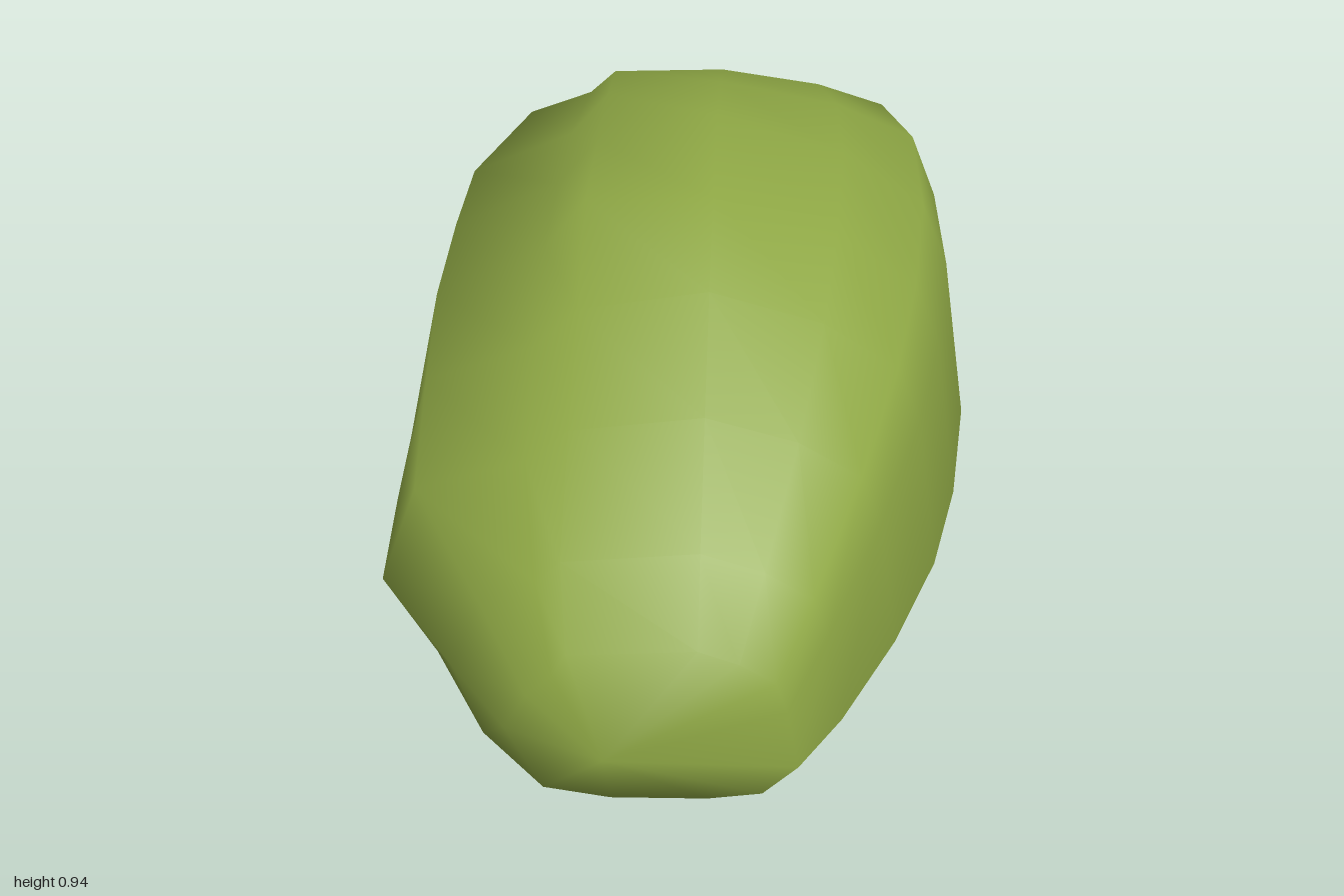
import * as THREE from 'three';

const moss = new THREE.MeshStandardMaterial({ color: 0x8fa845 });
moss.name = 'mossGreen';

// Cross-sections from front to back: z, then x of the low (-x) and high (+x) sides, x of the
// base on both sides, y of the widest point on both sides, then the heights of the
// low shoulder, the step, the peak and the high shoulder
const stations = [
  [0.92, -0.34, 0.24, -0.27, 0.17, 0.20, 0.11, 0.29, 0.40, 0.42, 0.34],
  [0.78, -0.46, 0.33, -0.41, 0.26, 0.22, 0.10, 0.40, 0.51, 0.54, 0.43],
  [0.55, -0.64, 0.45, -0.54, 0.38, 0.24, 0.10, 0.49, 0.65, 0.69, 0.55],
  [0.30, -0.65, 0.55, -0.58, 0.47, 0.25, 0.10, 0.58, 0.77, 0.82, 0.64],
  [0.06, -0.66, 0.61, -0.60, 0.53, 0.24, 0.11, 0.64, 0.89, 0.90, 0.69],
  [-0.23, -0.66, 0.65, -0.62, 0.59, 0.23, 0.13, 0.64, 0.87, 0.94, 0.72],
  [-0.53, -0.66, 0.64, -0.64, 0.60, 0.24, 0.22, 0.61, 0.83, 0.87, 0.73],
  [-0.75, -0.52, 0.56, -0.48, 0.46, 0.28, 0.34, 0.66, 0.78, 0.79, 0.70],
  [-0.92, -0.34, 0.28, -0.31, 0.22, 0.32, 0.38, 0.55, 0.66, 0.69, 0.61],
];

// One loop, running from the low side over the top to the high side and underneath
function section([z, xr, xl, baseR, baseL, midR, midL, low, step, peak, high]) {
  const stepX = Math.max(-0.23, xr * 0.62);
  const baseZ = z === -0.92 ? -0.95 : z;  // foot of the back leans outwards
  return [
    [baseR, 0.03, baseZ],
    [xr, midR, z],
    [xr * 0.86, low, z],
    [stepX + (xr - stepX) * 0.22, low + (step - low) * 0.5, z],
    [stepX, step, z],
    [0.04, peak, z],
    [xl * 0.5, high + (peak - high) * 0.6, z],
    [xl * 0.79, high, z],
    [xl * 0.89, high * 0.78, z],
    [xl, midL, z],
    [baseL, 0.03, baseZ],
    [baseL * 0.35, 0.01, baseZ],
    [baseR * 0.5, 0.005, baseZ],
  ];
}

function boulderGeometry() {
  const loops = stations.map(section);
  const n = loops[0].length;
  const points = loops.flat();
  const index = [];
  for (let i = 0; i < loops.length - 1; i++) {
    for (let j = 0; j < n; j++) {
      const a = i * n + j, b = i * n + (j + 1) % n;
      index.push(a, b, a + n, b, b + n, a + n);
    }
  }
  // Blunt front and back ends
  const front = points.push([-0.14, 0.2, 1]) - 1;
  const back = points.push([-0.21, 0.49, -1]) - 1;
  const last = (loops.length - 1) * n;
  for (let j = 0; j < n; j++) {
    const k = (j + 1) % n;
    index.push(front, k, j, back, last + j, last + k);
  }

  const geometry = new THREE.BufferGeometry();
  geometry.setAttribute('position', new THREE.Float32BufferAttribute(points.flat(), 3));
  geometry.setIndex(index);
  geometry.computeVertexNormals();
  return geometry;
}

export function createModel() {
  const group = new THREE.Group();
  group.name = 'mossyBoulder';
  const boulder = new THREE.Mesh(boulderGeometry(), moss);
  boulder.name = 'boulder';
  group.add(boulder);
  return group;
}
